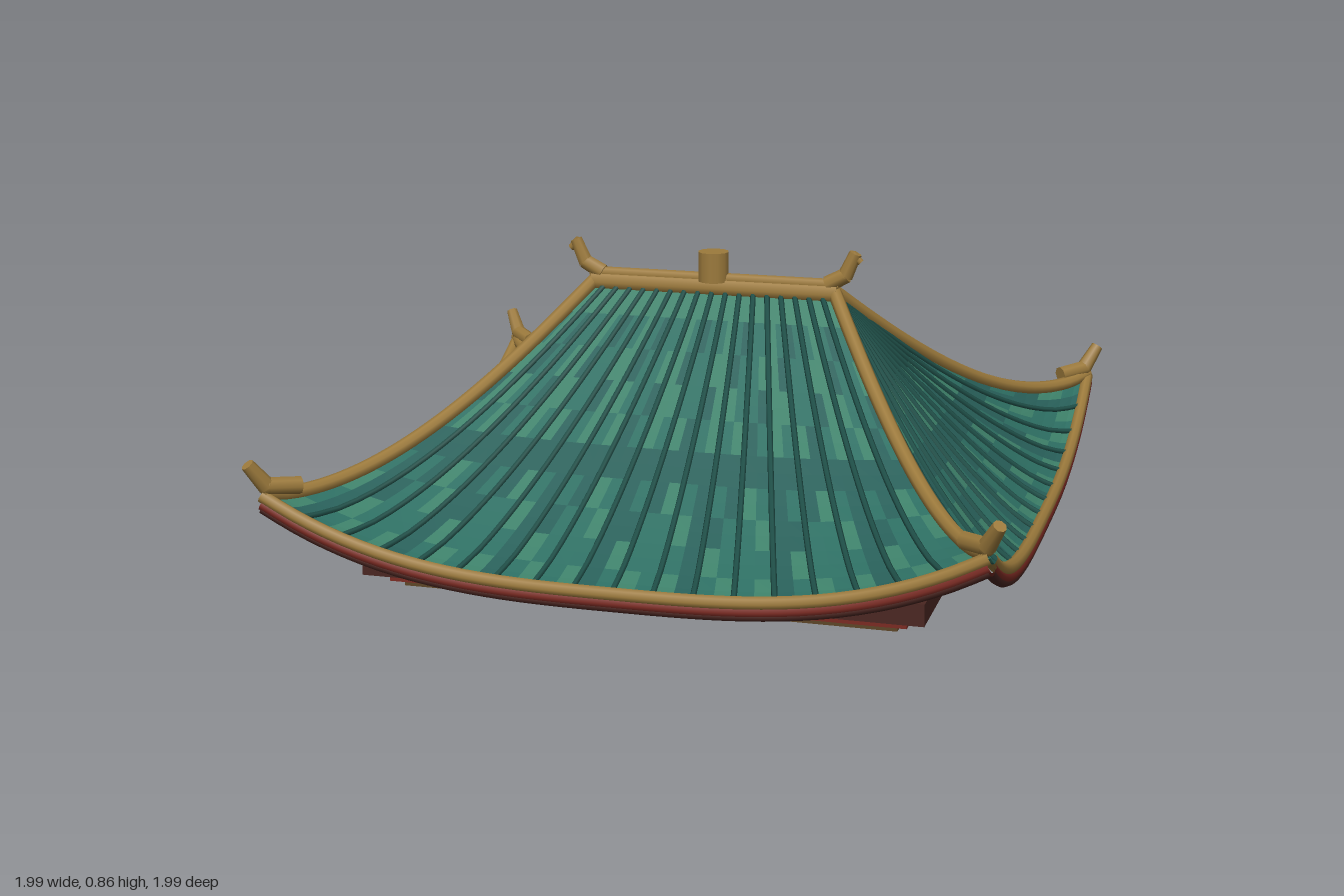
import * as THREE from 'three';

const RIDGE = 0.35, EAVE = 0.955;
const mat = (color, extra = {}) => new THREE.MeshStandardMaterial({ color, ...extra });
const gold = mat(0x9c7a3c), red = mat(0x7a2a22), maroon = mat(0x4a2621), brown = mat(0x5c4526), ribMat = mat(0x1f4f48);
const tileMats = [0x3d8069, 0x2d6e62, 0x285f59].map(c => mat(c, { flatShading: true, side: THREE.DoubleSide }));

function add(parent, name, geometry, material, x = 0, y = 0, z = 0) {
  const m = new THREE.Mesh(geometry, material);
  m.name = name;
  m.position.set(x, y, z);
  parent.add(m);
  return m;
}

// Concave roof height: t runs ridge to eave, u runs corner to corner
const height = (u, t) => 0.13 + 0.6 * Math.pow(1 - t, 1.27) + 0.18 * Math.pow(t * Math.abs(u), 3);

function slopePoint(u, t, a0, o0, lift = 0) {
  const a = a0 + (EAVE - a0) * t, o = o0 + (EAVE - o0) * t;
  return new THREE.Vector3(u * a, height(u, t) + lift, o);
}

function tube(points, r, segments = 24, sides = 8) {
  return new THREE.TubeGeometry(new THREE.CatmullRomCurve3(points), segments, r, sides);
}

// Tapered rod between two points
function rod(parent, name, a, b, r0, r1, material) {
  const d = b.clone().sub(a);
  const m = add(parent, name, new THREE.CylinderGeometry(r1, r0, d.length(), 8), material);
  m.position.copy(a).addScaledVector(d, 0.5);
  m.quaternion.setFromUnitVectors(new THREE.Vector3(0, 1, 0), d.normalize());
}

// One slope with tiles, ribs and eave trim, facing +z before it is turned
function slope(name, a0, o0, columns, ribs) {
  const g = new THREE.Group();
  g.name = name;
  const rows = 10, pos = [[], [], []];
  for (let i = 0; i < columns; i++) for (let j = 0; j < rows; j++) {
    const u0 = 2 * i / columns - 1, u1 = 2 * (i + 1) / columns - 1;
    const k = (i * 7 + j * 11 + ((i * j) % 5) * 3) % 7;
    const list = pos[k < 2 ? 0 : k < 5 ? 1 : 2];
    for (let s = 0; s < 2; s++) {
      const t0 = (j + s / 2) / rows, t1 = (j + (s + 1) / 2) / rows;
      const a = slopePoint(u0, t0, a0, o0), b = slopePoint(u0, t1, a0, o0);
      const c = slopePoint(u1, t1, a0, o0), d = slopePoint(u1, t0, a0, o0);
      for (const p of [a, b, c, a, c, d]) list.push(p.x, p.y, p.z);
    }
  }
  pos.forEach((list, i) => {
    const geo = new THREE.BufferGeometry();
    geo.setAttribute('position', new THREE.Float32BufferAttribute(list, 3));
    geo.computeVertexNormals();
    add(g, 'tiles' + (i + 1), geo, tileMats[i]);
  });

  // Ribs fan from ridge to eave
  for (let i = 1; i < ribs; i++) {
    const pts = [];
    for (let j = 0; j <= 10; j++) pts.push(slopePoint(2 * i / ribs - 1, j / 10, a0, o0, 0.003));
    add(g, 'rib', tube(pts, 0.008, 20, 6), ribMat);
  }

  // Layered eave trim follows the upturned edge
  const edge = lift => Array.from({ length: 25 }, (_, i) => slopePoint(i / 12 - 1, 1, a0, o0, lift));
  add(g, 'eaveTrim', tube(edge(0), 0.018, 40), gold);
  add(g, 'eaveBeam', tube(edge(-0.022), 0.017, 40), red);
  add(g, 'eaveLowerBeam', tube(edge(-0.034), 0.014, 40), maroon);
  return g;
}

export function createModel() {
  const model = new THREE.Group();
  model.name = 'pavilionRoof';

  // Stepped base
  add(model, 'basePlate', new THREE.BoxGeometry(1.36, 0.02, 1.36), brown, 0, 0.01, 0);
  add(model, 'baseBand', new THREE.BoxGeometry(1.42, 0.03, 1.42), red, 0, 0.035, 0);
  add(model, 'baseBeam', new THREE.BoxGeometry(1.53, 0.06, 1.53), maroon, 0, 0.08, 0);

  // Four slopes
  ['front', 'left', 'back', 'right'].forEach((side, i) => {
    const long = i % 2 === 0;
    const s = slope(side + 'Slope', long ? RIDGE : 0, long ? 0 : RIDGE, long ? 36 : 28, long ? 18 : 14);
    s.rotation.y = i * Math.PI / 2;
    model.add(s);
  });

  // Hip ridges with upturned tips
  const V = (x, y, z) => new THREE.Vector3(x, y, z);
  for (const sx of [1, -1]) for (const sz of [1, -1]) {
    const pts = [];
    for (let j = 0; j <= 14; j++) {
      const p = slopePoint(1, j / 14, RIDGE, 0, 0.007);
      pts.push(V(p.x * sx, p.y, p.z * sz));
    }
    add(model, 'hipRidge', tube(pts, 0.02, 36), gold);
    const tip = [V(0.88, 0.325, 0.88), V(0.945, 0.335, 0.945), V(0.98, 0.4, 0.98)].map(p => V(p.x * sx, p.y, p.z * sz));
    rod(model, 'hipTipBase', tip[0], tip[1], 0.024, 0.024, gold);
    rod(model, 'hipTip', tip[1], tip[2], 0.024, 0.018, gold);
    add(model, 'hipTipJoint', new THREE.SphereGeometry(0.024, 8, 6), gold, tip[1].x, tip[1].y, tip[1].z);
  }

  // Main ridge
  rod(model, 'mainRidge', V(-0.36, 0.73, 0), V(0.36, 0.73, 0), 0.03, 0.03, gold);
  rod(model, 'ridgeCap', V(-0.365, 0.755, 0), V(0.365, 0.755, 0), 0.017, 0.017, gold);

  // Hooked horns at the ridge ends
  for (const s of [1, -1]) {
    rod(model, 'ridgeHornBase', V(s * 0.33, 0.755, 0), V(s * 0.385, 0.785, 0), 0.024, 0.022, gold);
    rod(model, 'ridgeHorn', V(s * 0.38, 0.78, 0), V(s * 0.41, 0.848, 0), 0.022, 0.018, gold);
    rod(model, 'ridgeHornHook', V(s * 0.4, 0.845, 0), V(s * 0.425, 0.822, 0), 0.014, 0.01, gold);
  }

  // Central finial
  add(model, 'finial', new THREE.CylinderGeometry(0.044, 0.044, 0.085, 12), gold, 0, 0.79, 0);
  return model;
}
